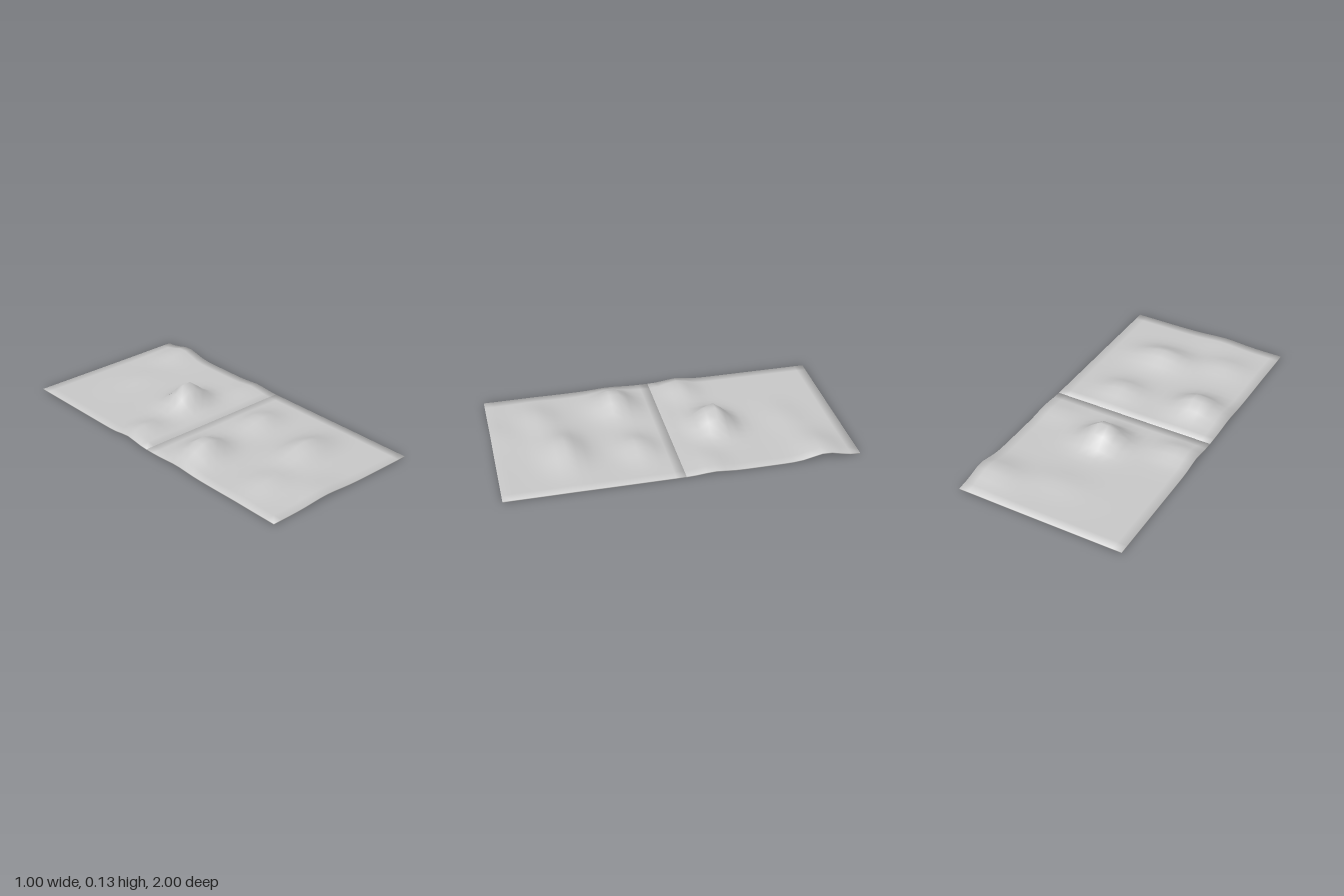
import * as THREE from 'three';
import { mergeVertices } from 'three/addons/utils/BufferGeometryUtils.js';

const THICKNESS = 0.006;

// Mounds: centre x, centre z, height, spread in x, spread in z
const MOUNDS = [
  [0.03, -0.27, 0.135, 0.088, 0.07],
  [-0.295, 0.25, 0.098, 0.095, 0.075],
  [0.12, 0.61, 0.071, 0.125, 0.075],
  [0.18, 0.2, 0.05, 0.09, 0.065],
  [-0.25, 0.71, 0.032, 0.1, 0.07],
  [-0.12, 0.96, 0.015, 0.1, 0.1],
  [0.42, -0.8, 0.042, 0.12, 0.075],
  [-0.38, -0.17, 0.042, 0.09, 0.06],
  [0.05, -0.7, 0.016, 0.12, 0.07],
  [0.4, -0.16, 0.018, 0.1, 0.06],
];

function moundHeight(x, z) {
  return MOUNDS.reduce((sum, [cx, cz, h, sx, sz]) =>
    sum + h * Math.exp(-0.5 * (((x - cx) / sx) ** 2 + ((z - cz) / sz) ** 2)), 0);
}

// One square slab, lifted by the mounds on both its top and underside
function terrainTile(name, zCentre, material) {
  let geometry = new THREE.BoxGeometry(1, THICKNESS, 1, 18, 1, 18);
  geometry.deleteAttribute('normal');
  geometry.deleteAttribute('uv');
  geometry = mergeVertices(geometry, 1e-4);
  geometry.translate(0, THICKNESS / 2, zCentre);
  const p = geometry.attributes.position;
  for (let i = 0; i < p.count; i++) {
    p.setY(i, p.getY(i) + moundHeight(p.getX(i), p.getZ(i)));
  }
  geometry.computeVertexNormals();

  // Soften the rims by leaning their normals outward
  const n = geometry.attributes.normal;
  const v = new THREE.Vector3();
  for (let i = 0; i < p.count; i++) {
    const x = p.getX(i), z = p.getZ(i) - zCentre;
    v.fromBufferAttribute(n, i);
    if (Math.abs(x) > 0.499) v.x += Math.sign(x) * 0.9;
    if (Math.abs(z) > 0.499) v.z += Math.sign(z) * 0.9;
    v.normalize();
    n.setXYZ(i, v.x, v.y, v.z);
  }
  const mesh = new THREE.Mesh(geometry, material);
  mesh.name = name;
  return mesh;
}

export function createModel() {
  const group = new THREE.Group();
  group.name = 'terrain';
  const ground = new THREE.MeshStandardMaterial({ color: 0xc8c8c8 });
  ground.name = 'light grey ground';
  group.add(
    terrainTile('frontTerrainTile', 0.5, ground),
    terrainTile('backTerrainTile', -0.5, ground),
  );
  return group;
}
